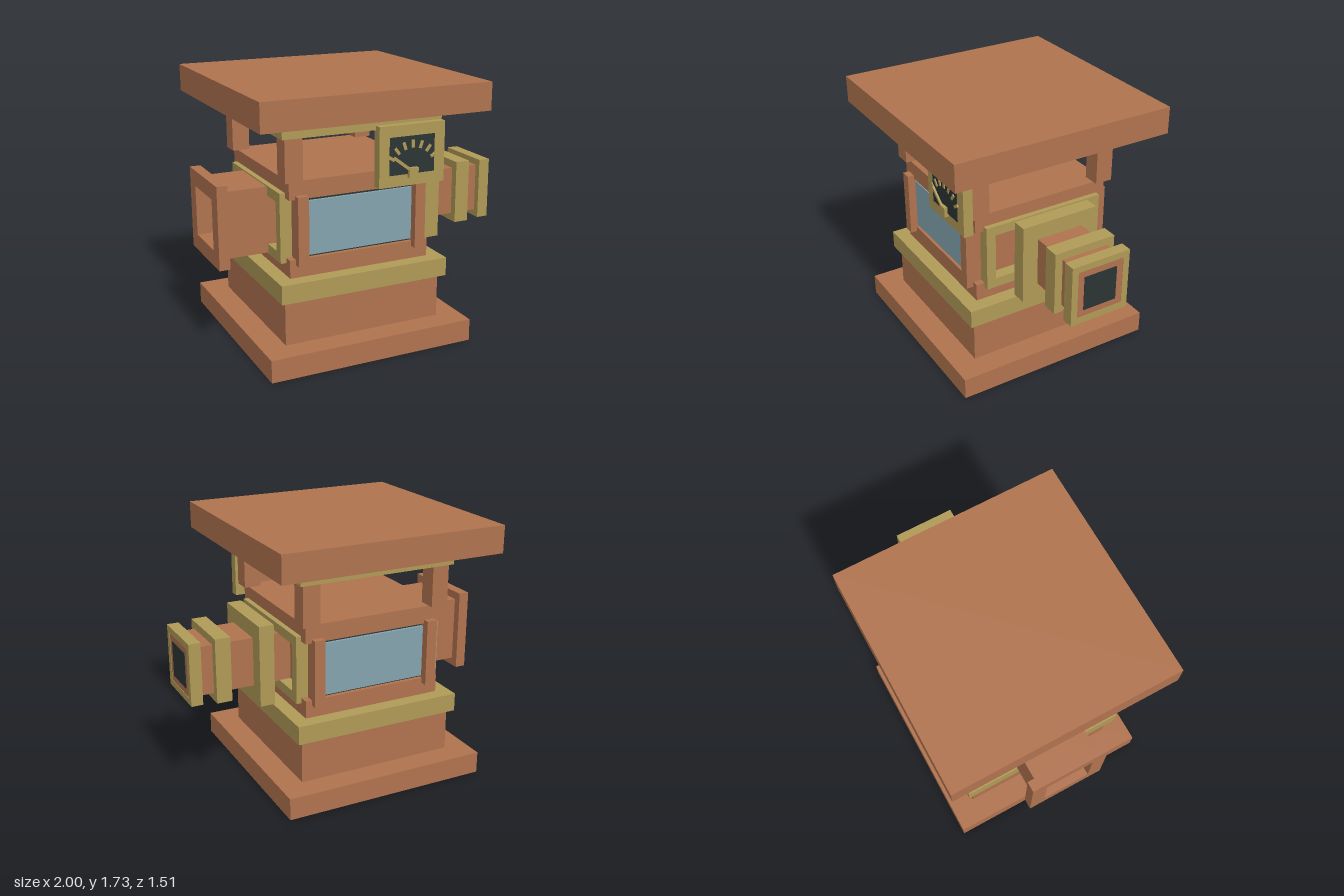
import * as THREE from 'three';

export function createModel() {
  const model = new THREE.Group();
  model.name = 'pedestalMachine';
  const material = (name, color) => {
    const m = new THREE.MeshStandardMaterial({ color });
    m.name = name;
    return m;
  };
  const copper = material('copper', 0xb0734f);
  const brass = material('brass', 0xb09a56);
  const dark = material('dark slate', 0x2b3434);
  const glass = material('blue glass', 0x83a3ae);

  const add = (name, geometry, mat) => {
    const mesh = new THREE.Mesh(geometry, mat);
    mesh.name = name;
    model.add(mesh);
    return mesh;
  };
  // Box given by its limits on each axis
  const box = (name, mat, x0, x1, y0, y1, z0, z1) => {
    const mesh = add(name, new THREE.BoxGeometry(x1 - x0, y1 - y0, z1 - z0), mat);
    mesh.position.set((x0 + x1) / 2, (y0 + y1) / 2, (z0 + z1) / 2);
    return mesh;
  };
  const rectangle = (path, w, h) => {
    path.moveTo(-w, -h);
    path.lineTo(w, -h);
    path.lineTo(w, h);
    path.lineTo(-w, h);
    path.closePath();
    return path;
  };
  const axisY = 0.868;
  // Rectangular ring around the x axis, with half sizes in z and y
  const ring = (name, mat, x0, x1, w, h, holeW, holeH) => {
    const shape = rectangle(new THREE.Shape(), w, h);
    shape.holes.push(rectangle(new THREE.Path(), holeW, holeH));
    const geometry = new THREE.ExtrudeGeometry(shape, { depth: x1 - x0, bevelEnabled: false });
    geometry.rotateY(Math.PI / 2);
    const mesh = add(name, geometry, mat);
    mesh.position.set(x0, axisY, 0);
  };

  // Stepped pedestal
  box('base', copper, -0.84, 0.56, 0, 0.147, -0.702, 0.702);
  box('plinth', copper, -0.68, 0.40, 0.147, 0.437, -0.54, 0.54);
  box('plinthBand', brass, -0.715, 0.44, 0.437, 0.56, -0.58, 0.58);

  // Chamber between two slabs
  box('lowerSlab', copper, -0.62, 0.345, 0.56, 0.677, -0.485, 0.485);
  box('upperSlab', copper, -0.62, 0.345, 1.06, 1.177, -0.485, 0.485);
  box('chamberWalls', copper, -0.58, 0.30, 0.677, 1.06, -0.45, 0.45);

  // Windows and corner posts, front and back
  for (const s of [-1, 1]) {
    const side = (name, mat, x0, x1, y0, y1, z0, z1) =>
      box(name, mat, x0, x1, y0, y1, Math.min(s * z0, s * z1), Math.max(s * z0, s * z1));
    side('windowBacking', dark, -0.52, 0.24, 0.677, 1.06, 0.45, 0.456);
    side('windowGlass', glass, -0.51, 0.23, 0.692, 1.04, 0.456, 0.476);
    side('leftPost', copper, 0.23, 0.302, 0.642, 1.085, 0.43, 0.53);
    side('rightPost', copper, -0.58, -0.508, 0.642, 1.085, 0.43, 0.53);
    // Pillars carrying the roof
    side('leftPillar', copper, 0.26, 0.377, 1.177, 1.45, 0.40, 0.52);
    side('rightPillar', copper, -0.657, -0.54, 1.177, 1.45, 0.40, 0.52);
  }

  // Roof
  box('roofBand', brass, -0.68, 0.40, 1.45, 1.55, -0.54, 0.54);
  box('roof', copper, -0.895, 0.62, 1.55, 1.73, -0.757, 0.757);

  // Brass frames on both chamber ends
  ring('leftFrame', brass, 0.30, 0.38, 0.425, 0.225, 0.36, 0.16);
  ring('rightFrame', brass, -0.657, -0.58, 0.425, 0.225, 0.36, 0.16);

  // Hollow intake on the right end
  ring('intakeTube', copper, -0.93, -0.58, 0.217, 0.217, 0.165, 0.165);
  ring('intakeFlange', copper, -1, -0.93, 0.27, 0.27, 0.165, 0.165);

  // Banded nozzle on the left end
  const r = 0.163;
  box('nozzleTube', copper, 0.30, 0.997, axisY - r, axisY + r, -r, r);
  ring('nozzleCollar', brass, 0.46, 0.56, 0.27, 0.27, r, r);
  ring('nozzleBand', brass, 0.73, 0.832, 0.215, 0.215, r, r);
  ring('nozzleRim', brass, 0.922, 1, 0.207, 0.207, r, r);
  box('nozzleMouth', dark, 0.995, 1, axisY - 0.118, axisY + 0.118, -0.118, 0.118);

  // Gauge on the front
  box('gaugeBracket', copper, 0.06, 0.27, 1.12, 1.45, 0.48, 0.525);
  box('gaugeHousing', brass, -0.065, 0.395, 1.09, 1.478, 0.525, 0.59);
  box('gaugeFace', dark, 0.005, 0.32, 1.165, 1.405, 0.589, 0.594);
  const px = 0.165, py = 1.177;
  const mark = (name, radius, degrees, length, width, z0, z1) => {
    const a = THREE.MathUtils.degToRad(degrees);
    const mesh = add(name, new THREE.BoxGeometry(length, width, z1 - z0), brass);
    mesh.position.set(px + radius * Math.cos(a), py + radius * Math.sin(a), (z0 + z1) / 2);
    mesh.rotation.z = a;
  };
  for (let i = -3; i <= 3; i++) mark('gaugeTick', 0.178, 90 + i * 19, 0.05, 0.02, 0.592, 0.6);
  mark('gaugeNeedle', 0.085, 143, 0.17, 0.02, 0.6, 0.612);
  box('gaugeHub', brass, px - 0.032, px + 0.032, py - 0.034, py + 0.03, 0.59, 0.617);

  return model;
}
